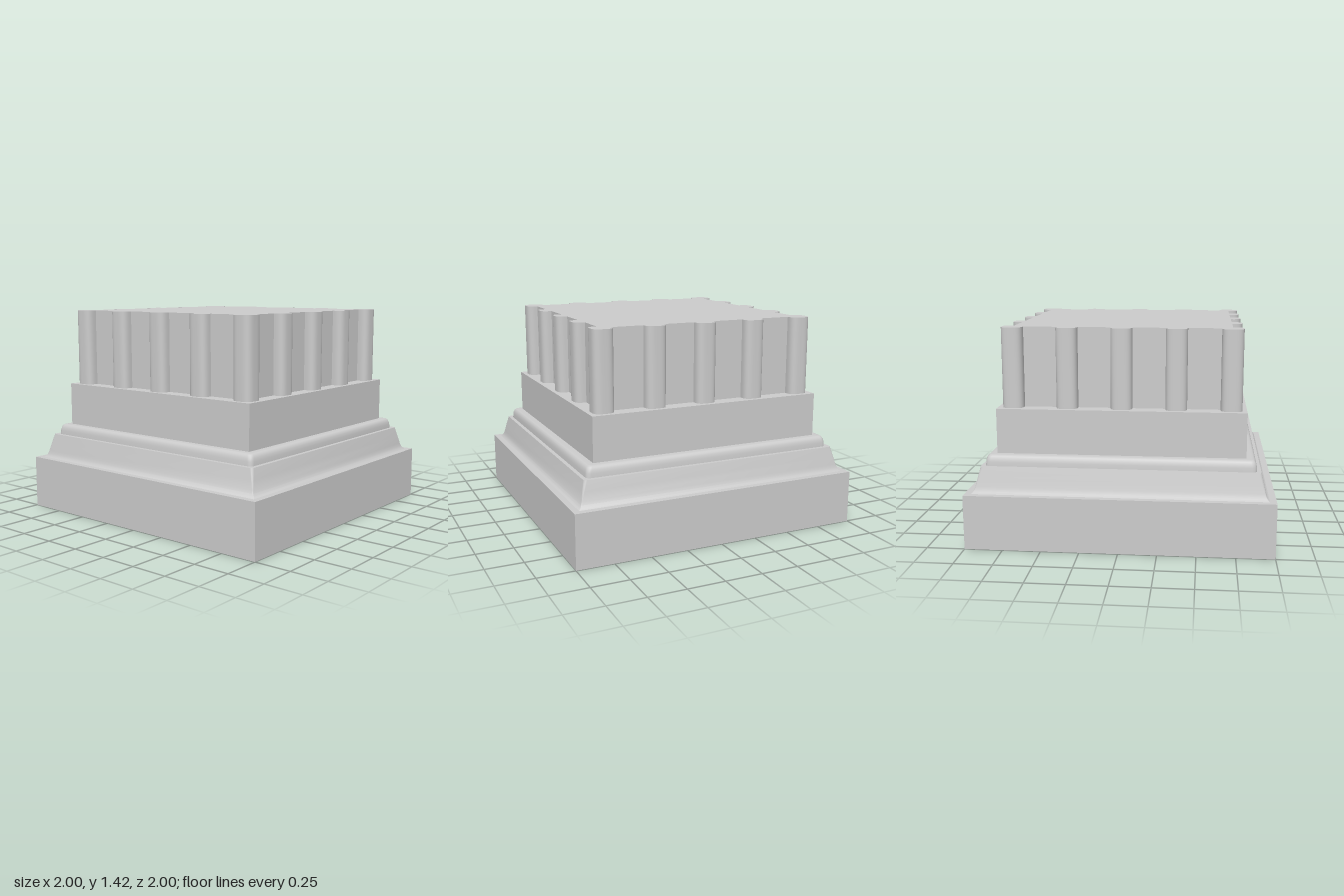
import * as THREE from 'three';
import { toCreasedNormals } from 'three/addons/utils/BufferGeometryUtils.js';

const material = new THREE.MeshStandardMaterial({ color: 0xcccccc });

function addMesh(group, name, geometry, y = 0) {
  const mesh = new THREE.Mesh(geometry, material);
  mesh.name = name;
  mesh.position.y = y;
  group.add(mesh);
}

// Square moulding: each profile row is [half width, height, plan corner radius]
function squareMoulding(profile) {
  const steps = 4, count = 4 * (steps + 1), positions = [], index = [];
  for (const [half, y, r] of profile) {
    for (let corner = 0; corner < 4; corner++) {
      const mid = (corner + 0.5) * Math.PI / 2;
      const cx = Math.sign(Math.cos(mid)) * (half - r);
      const cz = Math.sign(Math.sin(mid)) * (half - r);
      for (let i = 0; i <= steps; i++) {
        const a = (corner + i / steps) * Math.PI / 2;
        positions.push(cx + r * Math.cos(a), y, cz + r * Math.sin(a));
      }
    }
  }
  for (let row = 0; row < profile.length - 1; row++) {
    for (let i = 0; i < count; i++) {
      const a = row * count + i, b = row * count + (i + 1) % count;
      index.push(a, a + count, b, b, a + count, b + count);
    }
  }
  const geometry = new THREE.BufferGeometry();
  geometry.setAttribute('position', new THREE.Float32BufferAttribute(positions, 3));
  geometry.setIndex(index);
  return toCreasedNormals(geometry, 0.6);
}

// Shaft outline: square core with rounded ribs on each side and at the corners
function shaftShape() {
  const core = 0.71, out = 0.78, w = 0.07, r = 0.055;
  const shape = new THREE.Shape();
  shape.moveTo(-core + w, core);
  for (let side = 0; side < 4; side++) {
    const c = Math.round(Math.cos(side * Math.PI / 2));
    const s = Math.round(Math.sin(side * Math.PI / 2));
    const turn = (u, v) => [u * c + v * s, v * c - u * s];
    const line = (u, v) => shape.lineTo(...turn(u, v));
    const round = (u, v, u2, v2) => shape.quadraticCurveTo(...turn(u, v), ...turn(u2, v2));
    for (const m of [-0.355, 0, 0.355, core]) {
      line(m - w, core);
      line(m - w, out - r);
      round(m - w, out, m - w + r, out);
      line(m + w - r, out);
      round(m + w, out, m + w, out - r);
      if (m < core) line(m + w, core);
    }
    // return of the corner rib onto the next side
    line(out, core - w + r);
    round(out, core - w, out - r, core - w);
    line(core, core - w);
  }
  return shape;
}

export function createModel() {
  const group = new THREE.Group();
  group.name = 'pedestal';

  addMesh(group, 'plinth', new THREE.BoxGeometry(2, 0.36, 2), 0.18);

  // Flared lower moulding with a flat ledge on top
  addMesh(group, 'flaredMoulding', squareMoulding([
    [0.957, 0.36, 0.003], [0.946, 0.37, 0.004], [0.938, 0.385, 0.006], [0.932, 0.405, 0.008],
    [0.92, 0.46, 0.012], [0.904, 0.528, 0.02], [0.8, 0.528, 0.01],
  ]));

  // Upper moulding with a rounded shoulder
  addMesh(group, 'roundedMoulding', squareMoulding([
    [0.878, 0.52, 0.03], [0.876, 0.555, 0.03], [0.872, 0.575, 0.03], [0.865, 0.59, 0.028],
    [0.855, 0.598, 0.024], [0.842, 0.6, 0.02], [0.79, 0.6, 0.01],
  ]));

  addMesh(group, 'dado', new THREE.BoxGeometry(1.62, 0.315, 1.62), 0.7375);

  const shaft = new THREE.ExtrudeGeometry(shaftShape(), { depth: 0.525, bevelEnabled: false, curveSegments: 8 });
  shaft.rotateX(-Math.PI / 2);
  addMesh(group, 'ribbedShaft', toCreasedNormals(shaft, 0.6), 0.895);

  return group;
}
